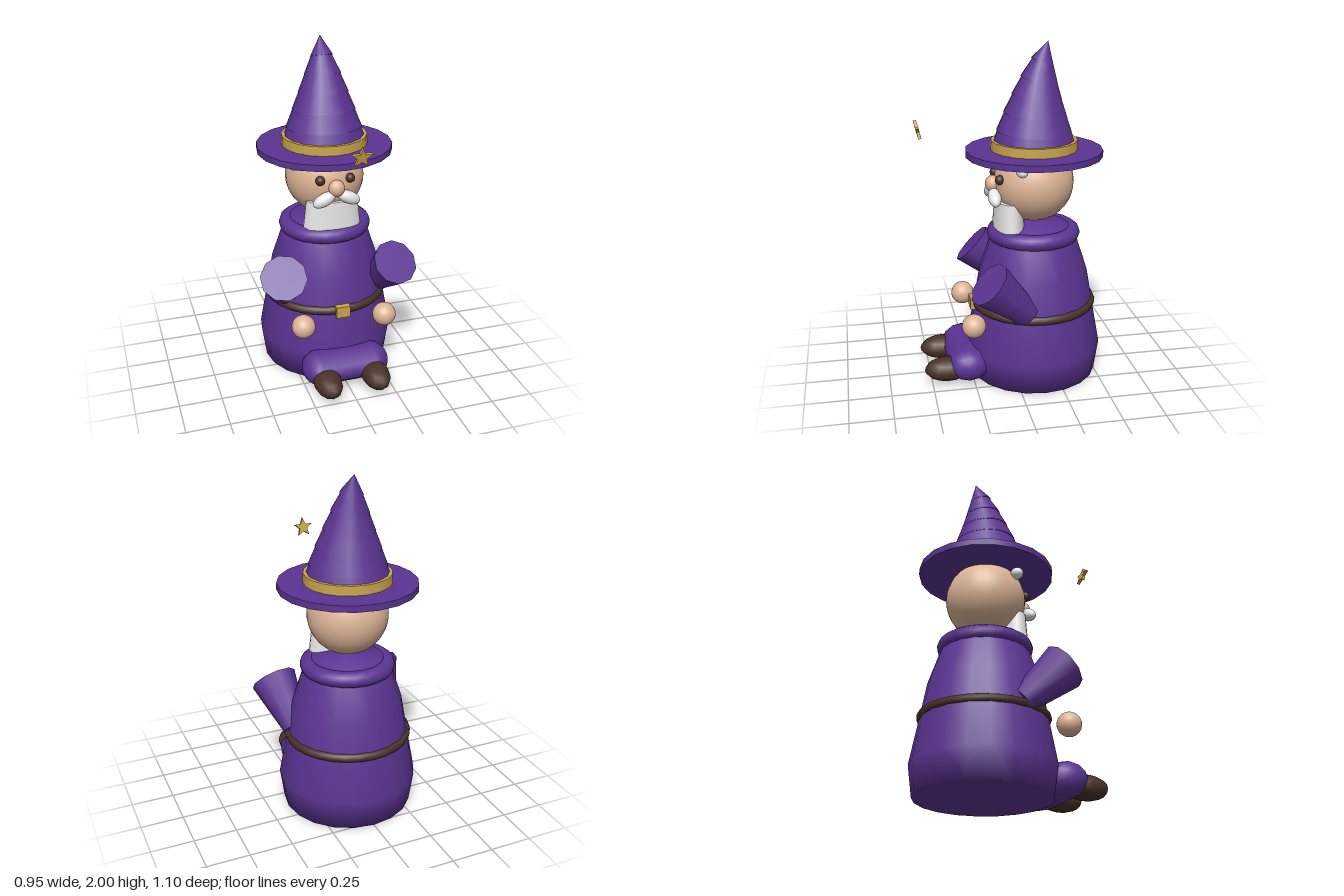
import * as THREE from 'three';

const mat = (name, color) => Object.assign(new THREE.MeshStandardMaterial({ color }), { name });

export function createModel() {
  const purple = mat('robe purple', 0x5c3493);
  const skin = mat('skin', 0xdeb597);
  const gold = mat('gold', 0xc8a44c);
  const brown = mat('dark brown', 0x4a3228);
  const white = mat('white hair', 0xe6e6e6);

  const root = new THREE.Group();
  root.name = 'wizard';
  const Z = -0.14; // axis of body, head and hat

  const add = (name, geo, material, x, y, z) => {
    const m = new THREE.Mesh(geo, material);
    m.name = name;
    m.position.set(x, y, z);
    root.add(m);
    return m;
  };
  const ball = (rx, ry = rx, rz = rx, w = 24, h = 16) => new THREE.SphereGeometry(1, w, h).scale(rx, ry, rz);

  // Robe: lathed body, rolled collar and belt
  const profile = [[0, 0], [0.385, 0], [0.41, 0.18], [0.36, 0.45], [0.325, 0.65], [0.265, 0.83], [0.22, 0.92], [0, 0.965]]
    .map(([r, y]) => new THREE.Vector2(r, y));
  add('robe', new THREE.LatheGeometry(profile, 20), purple, 0, 0, Z);
  add('collar', new THREE.TorusGeometry(0.23, 0.048, 10, 24).rotateX(Math.PI / 2), purple, 0, 0.88, Z);
  add('belt', new THREE.TorusGeometry(0.352, 0.026, 8, 28).rotateX(Math.PI / 2), brown, 0, 0.45, Z);
  add('buckle', new THREE.BoxGeometry(0.085, 0.07, 0.04), gold, 0, 0.45, 0.23);

  // Head and face
  add('head', ball(0.234, 0.234, 0.234, 32, 24), skin, 0, 1.19, Z);
  add('nose', ball(0.047, 0.05, 0.042), skin, 0, 1.185, 0.106);
  add('beard', new THREE.CylinderGeometry(0.155, 0.176, 0.18, 24).scale(1, 1, 0.52), white, 0, 1.0, 0.012);

  // Lap of the robe, stretched across both legs
  add('lap', new THREE.CapsuleGeometry(0.1, 0.33, 6, 12).rotateZ(Math.PI / 2).scale(1, 1, 1.22), purple, 0, 0.12, 0.28);

  // Mirrored parts
  for (const s of [1, -1]) {
    add('eye', ball(0.028), brown, s * 0.09, 1.23, 0.078);
    add('moustache', ball(0.073, 0.038, 0.038), white, s * 0.073, 1.122, 0.105).rotation.z = -s * 0.45;
    add('eyebrow', ball(0.05, 0.035, 0.035), white, s * 0.2, 1.307, -0.03).rotation.z = -s * 0.3;
    add('hand', ball(0.07), skin, s * 0.25, 0.405, 0.26);
    add('shoe', ball(0.083, 0.072, 0.14, 12, 10), brown, s * 0.148, 0.092, 0.405);

    // Flared sleeve, wide end forward and up
    const a = new THREE.Vector3(s * 0.295, 0.475, -0.05), b = new THREE.Vector3(s * 0.343, 0.7, 0.185);
    const dir = b.clone().sub(a), mid = a.clone().add(b).multiplyScalar(0.5);
    const sleeve = add('sleeve', new THREE.CylinderGeometry(0.138, 0.075, dir.length(), 10), purple, mid.x, mid.y, mid.z);
    sleeve.quaternion.setFromUnitVectors(new THREE.Vector3(0, 1, 0), dir.normalize());
  }

  // Hat: brim, band and overlapping cones that lean back towards the tip
  add('hatBrim', new THREE.CylinderGeometry(0.4, 0.4, 0.038, 20), purple, 0, 1.366, Z);
  add('hatBand', new THREE.CylinderGeometry(0.252, 0.254, 0.056, 20), gold, 0, 1.412, Z);
  const radii = [0.252, 0.222, 0.186, 0.147, 0.108, 0.066];
  const lean = [-0.14, -0.142, -0.147, -0.155, -0.167, -0.185, -0.215];
  for (let i = 0; i < 6; i++) {
    const tip = i === 5;
    const h = tip ? 0.115 : 0.11;
    const top = tip ? 0 : radii[i + 1] - 0.008;
    const cone = add(tip ? 'hatTip' : 'hatSection', new THREE.CylinderGeometry(top, radii[i], h, 16), purple,
      0, 1.385 + i * 0.1 + h / 2, (lean[i] + lean[i + 1]) / 2);
    cone.rotation.x = -Math.atan2(lean[i] - lean[i + 1], 0.1);
  }

  // Star floating in front of the hat
  const star = new THREE.Shape();
  for (let i = 0; i < 10; i++) {
    const r = i % 2 ? 0.025 : 0.058, t = Math.PI / 2 + i * Math.PI / 5;
    star[i ? 'lineTo' : 'moveTo'](r * Math.cos(t), r * Math.sin(t));
  }
  star.closePath();
  const starGeo = new THREE.ExtrudeGeometry(star, { depth: 0.018, bevelEnabled: false }).translate(0, 0, -0.009);
  add('star', starGeo, gold, 0, 1.52, 0.53).rotation.x = 0.25;

  return root;
}
